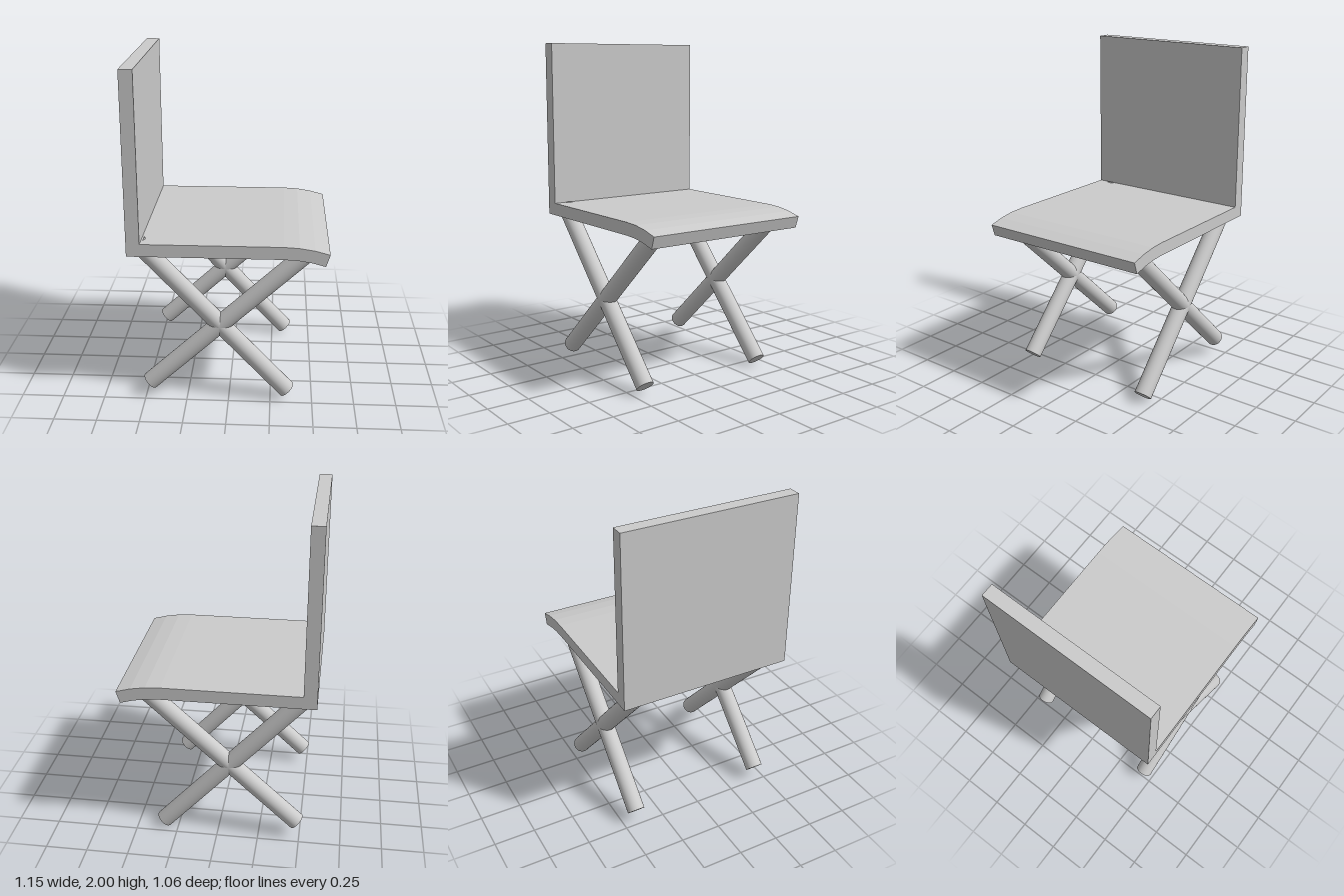
import * as THREE from 'three';

const WIDTH = 1.06;      // seat and backrest width along z
const LEG_RADIUS = 0.053;

const grey = new THREE.MeshStandardMaterial({ color: 0xcccccc });

// Round leg between two points in an x-y plane at depth z
function makeLeg(name, [x1, y1], [x2, y2], z) {
  const a = new THREE.Vector3(x1, y1, z);
  const b = new THREE.Vector3(x2, y2, z);
  const dir = b.clone().sub(a);
  const leg = new THREE.Mesh(
    new THREE.CylinderGeometry(LEG_RADIUS, LEG_RADIUS, dir.length(), 32), grey);
  leg.name = name;
  leg.position.copy(a).add(b).multiplyScalar(0.5);
  leg.quaternion.setFromUnitVectors(new THREE.Vector3(0, 1, 0), dir.normalize());
  return leg;
}

// L-shaped shell: upright back and flat seat whose front edge bends down in three facets
function makeShell() {
  const cx = 0.315, cy = 0.175, outer = 0.84, inner = 0.765;
  const bend = (radius) => [0, 6, 12, 18].map((deg) => {
    const t = THREE.MathUtils.degToRad(deg);
    return new THREE.Vector2(cx + radius * Math.sin(t), cy + radius * Math.cos(t));
  });
  const profile = new THREE.Shape([
    new THREE.Vector2(-0.575, 0.94),
    ...bend(inner),
    ...bend(outer).reverse(),
    new THREE.Vector2(-0.497, 1.015),
    new THREE.Vector2(-0.497, 2),
    new THREE.Vector2(-0.575, 2),
  ]);
  const geometry = new THREE.ExtrudeGeometry(profile, { depth: WIDTH, bevelEnabled: false });
  geometry.translate(0, 0, -WIDTH / 2);
  const shell = new THREE.Mesh(geometry, grey);
  shell.name = 'seatAndBackrest';
  return shell;
}

export function createModel() {
  const model = new THREE.Group();
  model.name = 'chair';
  model.add(makeShell());

  // Crossed leg pairs; the second sits very slightly off the first
  const pairs = [
    { name: 'leftSideLegs', z: 0.437, dx: 0, dy: 0 },
    { name: 'rightSideLegs', z: -0.424, dx: -0.013, dy: -0.018 },
  ];
  for (const { name, z, dx, dy } of pairs) {
    const pair = new THREE.Group();
    pair.name = name;
    pair.add(
      makeLeg('forwardLeg', [0.35 + dx, 0.055 + dy], [-0.519, 0.985 + dy], z),
      makeLeg('backwardLeg', [-0.475 + dx / 2, 0.088 - dy / 2], [0.45 + dx, 0.948], z),
    );
    model.add(pair);
  }
  return model;
}
